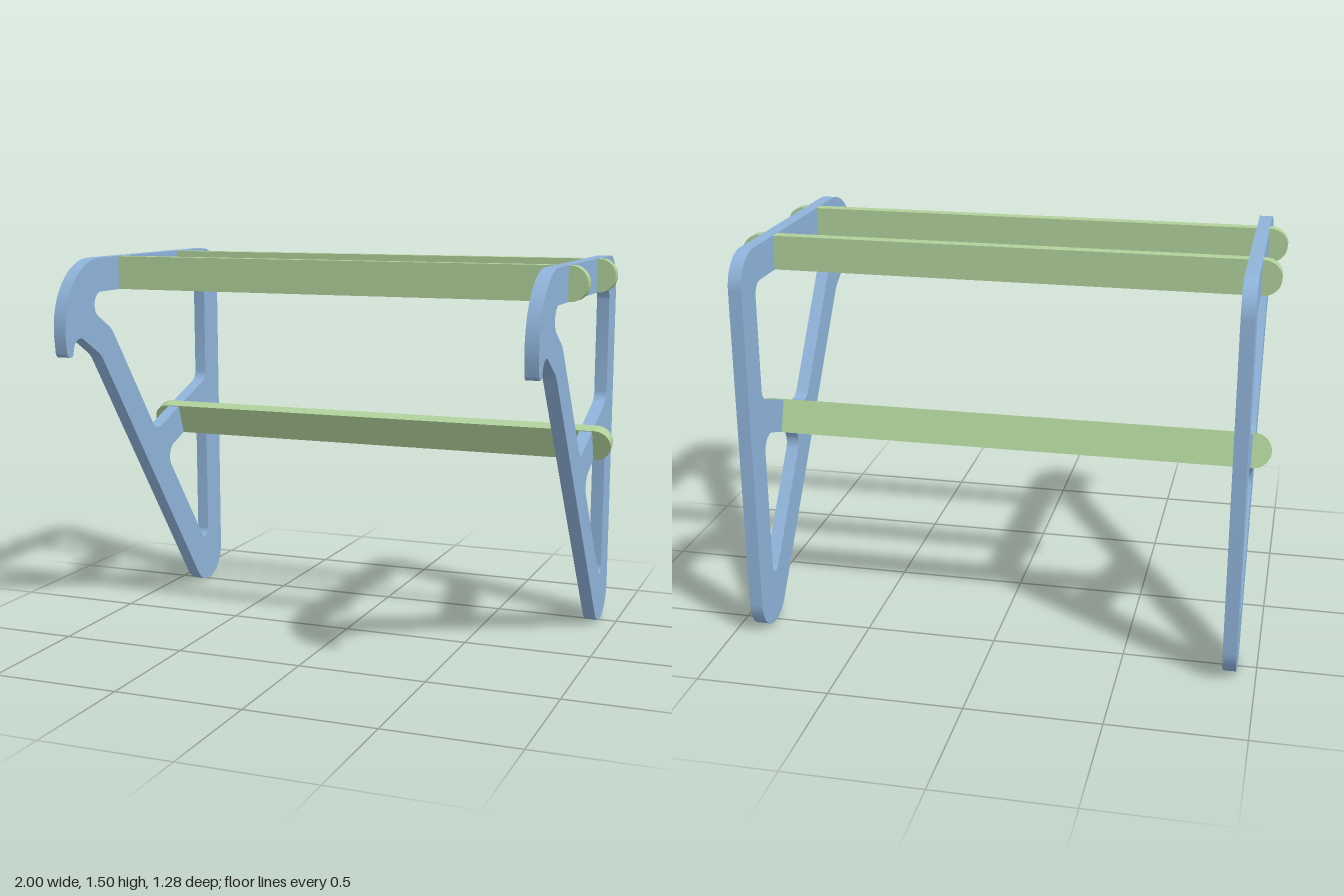
import * as THREE from 'three';
import { toCreasedNormals } from 'three/addons/utils/BufferGeometryUtils.js';

// Traces a closed polygon of [x, y, radius] corners, filleting each one
function filletedPath(path, corners) {
  const n = corners.length;
  const at = (i) => new THREE.Vector2(corners[(i + n) % n][0], corners[(i + n) % n][1]);
  corners.forEach(([, , r], i) => {
    const c = at(i);
    const u = at(i - 1).sub(c).normalize();
    const v = at(i + 1).sub(c).normalize();
    const half = Math.acos(u.dot(v)) / 2;
    const centre = u.clone().add(v).normalize().multiplyScalar(r / Math.sin(half)).add(c);
    const t = r / Math.tan(half);
    const a = u.clone().multiplyScalar(t).add(c).sub(centre);
    const b = v.clone().multiplyScalar(t).add(c).sub(centre);
    path.absarc(centre.x, centre.y, r, a.angle(), b.angle(), u.cross(v) > 0);
  });
  path.closePath();
  return path;
}

function extrude(shape, depth, curveSegments) {
  const geo = new THREE.ExtrudeGeometry(shape, { depth, curveSegments, bevelEnabled: false });
  geo.translate(0, 0, -depth / 2);
  return geo;
}

export function createModel() {
  const group = new THREE.Group();
  const blue = new THREE.MeshStandardMaterial({ color: 0x8fb3d9 });
  const green = new THREE.MeshStandardMaterial({ color: 0xafd09a });

  // Side panel profile, drawn as (z, y)
  const outline = filletedPath(new THREE.Shape(), [
    [-0.64, 1.5, 0.13],
    [-0.64, -0.2655, 0.13],
    [0.385, 1.123, 0.13],
    [0.573, 1.231, 0.05],
    [0.59, 1.137, 0.017],
    [0.63, 1.137, 0.02],
    [0.64, 1.22, 0.1],
    [0.64, 1.5, 0.26],
  ]);
  const upperHole = filletedPath(new THREE.Path(), [
    [0.562, 1.37, 0.05],
    [0.3, 1.219, 0.13],
    [-0.044, 0.757, 0.058],
    [-0.51, 0.923, 0.05],
    [-0.51, 1.37, 0.05],
  ]);
  const lowerHole = filletedPath(new THREE.Path(), [
    [-0.123, 0.652, 0.058],
    [-0.51, 0.139, 0.032],
    [-0.51, 0.79, 0.058],
  ]);
  outline.holes.push(upperHole, lowerHole);
  const panelGeo = toCreasedNormals(extrude(outline, 0.05, 16).rotateY(-Math.PI / 2), 0.5);

  for (const [name, side] of [['leftPanel', 1], ['rightPanel', -1]]) {
    const panel = new THREE.Mesh(panelGeo, blue);
    panel.name = name;
    panel.position.x = side * 0.904;
    group.add(panel);
  }

  // Cross rails: flat boards with half-round ends
  const r = 0.0645;
  const board = new THREE.Shape();
  board.absarc(1 - r, 0, r, -Math.PI / 2, Math.PI / 2, false);
  board.absarc(r - 1, 0, r, Math.PI / 2, Math.PI * 1.5, false);
  board.closePath();
  const railGeo = toCreasedNormals(extrude(board, 0.048, 16), 0.5);

  for (const [name, y, z, tilt] of [
    ['frontTopRail', 1.435, 0.21, 0],
    ['backTopRail', 1.435, -0.283, 0],
    ['lowerRail', 0.78, -0.292, 0.345],
  ]) {
    const rail = new THREE.Mesh(railGeo, green);
    rail.name = name;
    rail.position.set(0, y, z);
    rail.rotation.x = tilt;
    group.add(rail);
  }
  return group;
}
